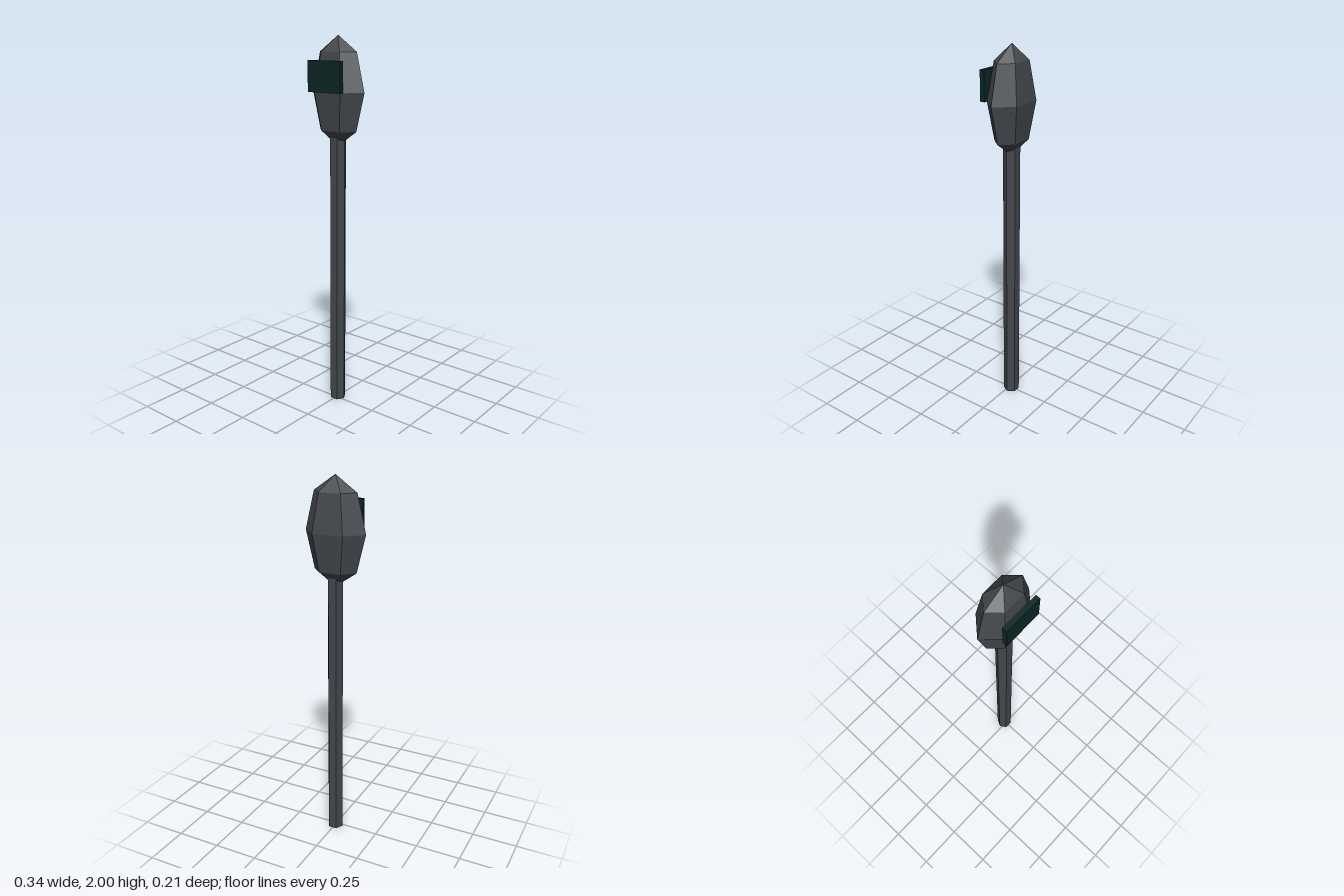
import * as THREE from 'three';

export function createModel() {
  const model = new THREE.Group();
  model.name = 'postWithHead';

  const charcoal = new THREE.MeshStandardMaterial({ color: 0x43484d, flatShading: true });
  charcoal.name = 'charcoal metal';
  const teal = new THREE.MeshStandardMaterial({ color: 0x0c2626, flatShading: true });
  teal.name = 'dark teal panel';

  const axisZ = -0.014;
  const add = (name, geometry, material, y, z) => {
    const mesh = new THREE.Mesh(geometry, material);
    mesh.name = name;
    mesh.position.set(0, y, z);
    model.add(mesh);
    return mesh;
  };

  // Six-sided pole, corners pointing to the left and right; its top ends inside the head
  const poleHeight = 1.495;
  const pole = new THREE.CylinderGeometry(0.044, 0.044, poleHeight, 6, 1, false, Math.PI / 6);
  add('pole', pole, charcoal, poleHeight / 2, axisZ);

  // Faceted head: a coarse ball stretched upwards and flattened front to back
  const head = new THREE.SphereGeometry(1, 6, 4);
  head.scale(0.168, 0.28, 0.104);
  add('head', head, charcoal, 1.72, axisZ);

  // Flat panel in front of the head
  add('panel', new THREE.BoxGeometry(0.208, 0.157, 0.026), teal, 1.798, 0.089);

  return model;
}
